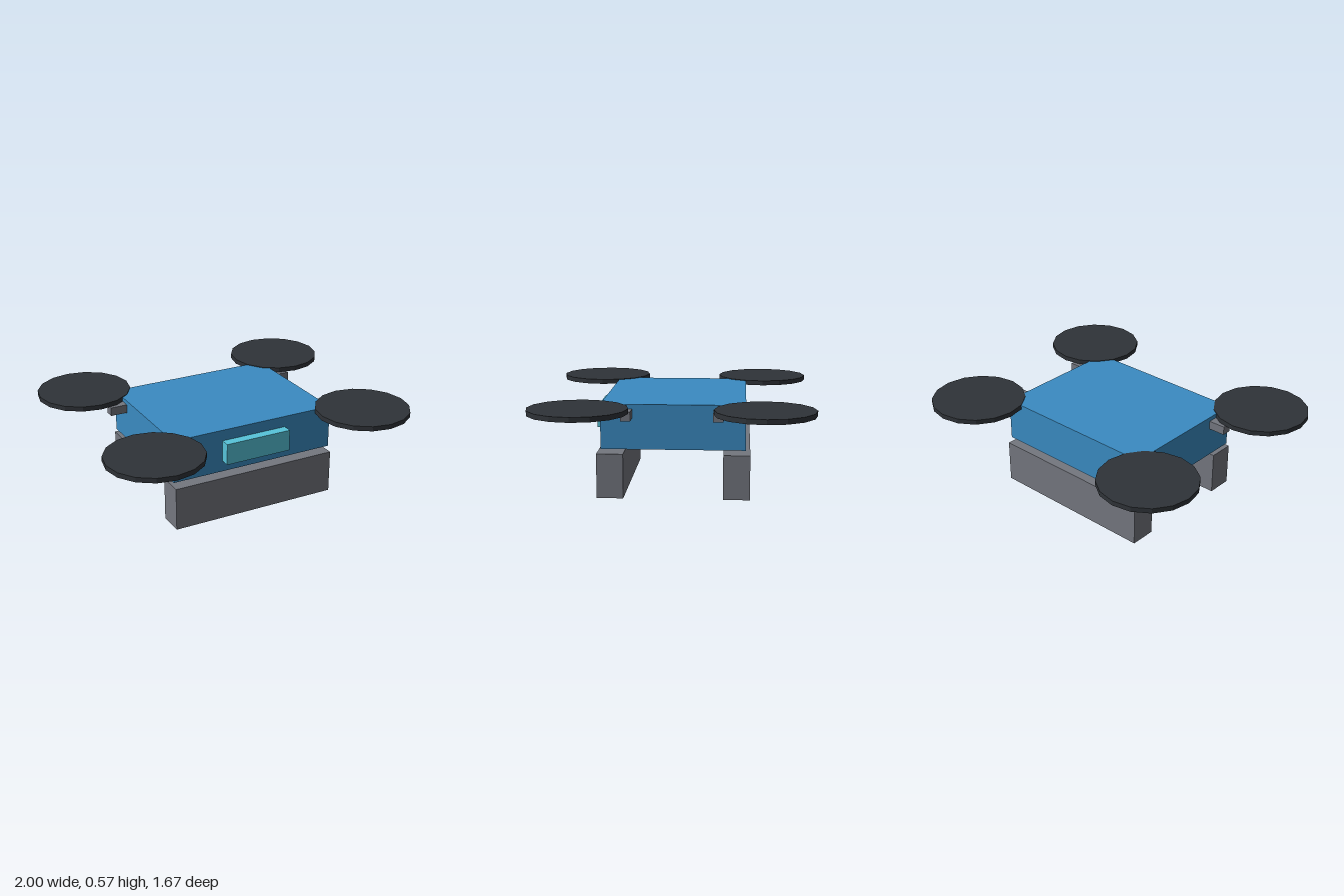
import * as THREE from 'three';

const mat = (color) => new THREE.MeshStandardMaterial({ color, flatShading: true });

export function createModel() {
  const model = new THREE.Group();
  model.name = 'drone';
  const blue = mat(0x3a8bc2), grey = mat(0x74777f), dark = mat(0x2f3338), cyan = mat(0x57c4da);

  const add = (name, geometry, material, x, y, z) => {
    const mesh = new THREE.Mesh(geometry, material);
    mesh.name = name;
    mesh.position.set(x, y, z);
    model.add(mesh);
  };

  // Body and front sensor panel
  add('body', new THREE.BoxGeometry(1.076, 0.27, 0.86), blue, 0, 0.436, 0);
  add('frontPanel', new THREE.BoxGeometry(0.43, 0.133, 0.06), cyan, 0, 0.436, 0.46);

  // Landing skids, floating just below the body
  const skid = new THREE.BoxGeometry(1.076, 0.27, 0.16);
  // Short arms and sixteen-sided rotor discs
  const arm = new THREE.BoxGeometry(0.108, 0.054, 0.06);
  const rotor = new THREE.CylinderGeometry(0.295, 0.295, 0.03, 16);

  for (const [zSide, s] of [['front', 1], ['back', -1]]) {
    add(zSide + 'Skid', skid, grey, 0, 0.135, s * 0.378);
    for (const [xSide, m] of [['Left', 1], ['Right', -1]]) {
      add(zSide + xSide + 'Arm', arm, grey, m * 0.592, 0.517, s * 0.27);
      add(zSide + xSide + 'Rotor', rotor, dark, m * 0.705, 0.56, s * 0.54);
    }
  }
  return model;
}
